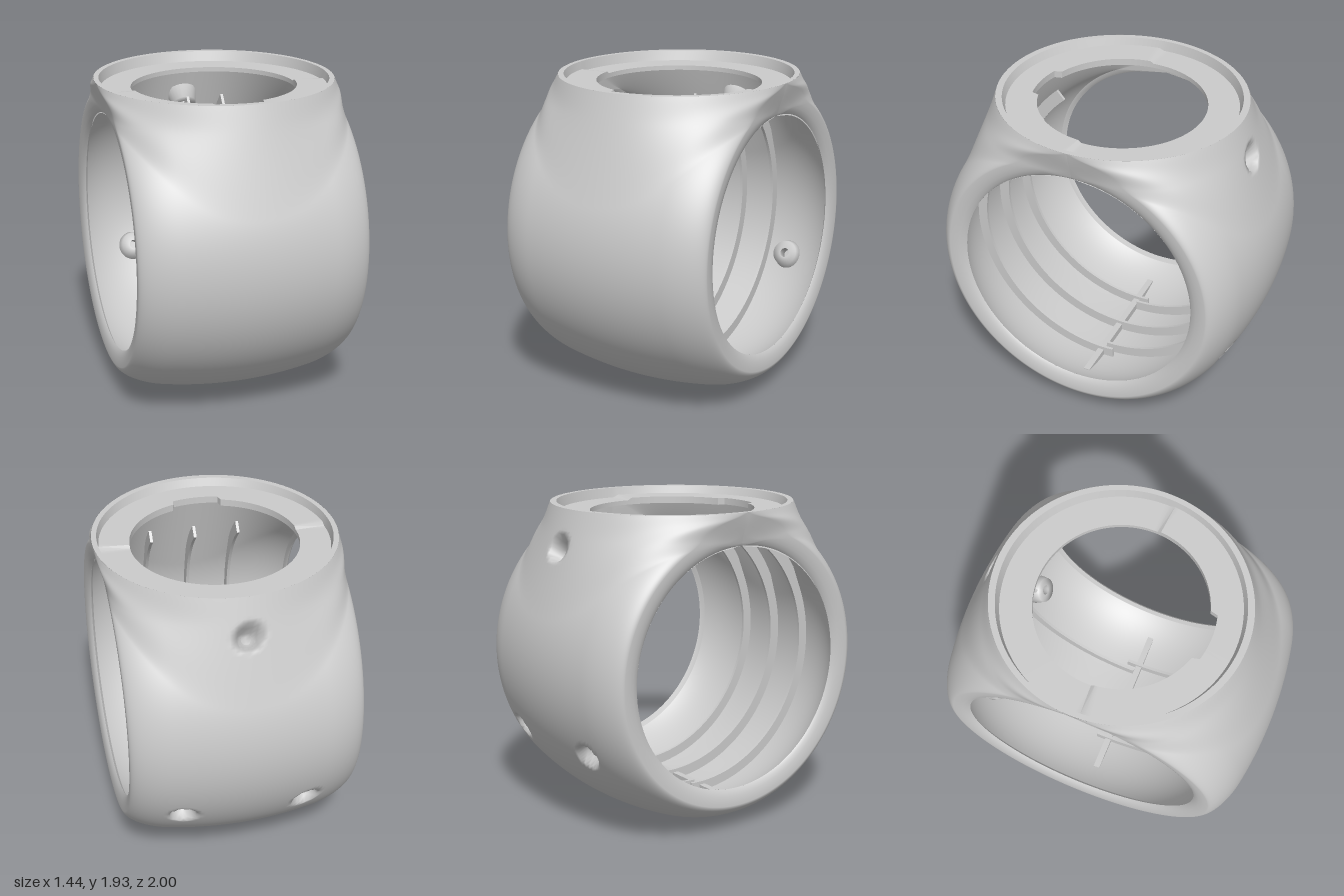
import * as THREE from 'three';
import { toCreasedNormals } from 'three/addons/utils/BufferGeometryUtils.js';

const AXIS_Y = 1;       // height of the cross bore's axis
const HALF_W = 0.69;    // half width of the barrel
const INNER_W = 0.645;  // half width of the cavity under the collar
const INNER_TOP = 0.84; // cavity height above the axis

// Screw recesses on the back wall
const recesses = [
  new THREE.Vector3(0, 1.71, -0.81),
  new THREE.Vector3(0.39, 0.55, -0.86),
  new THREE.Vector3(-0.35, 0.55, -0.86),
];

const outerR = (x) => {
  const t = Math.min(1, Math.max(0, (Math.abs(x) - 0.45) / 0.24));
  return 1 - 0.2 * x * x - 0.075 * (1 - Math.sqrt(1 - t * t));
};
const innerR = (x) => 0.87 - 0.11 * Math.pow(Math.abs(x) / INNER_W, 4);
const ellipse = (x, halfX, halfZ) => halfZ * Math.sqrt(Math.max(0, 1 - (x / halfX) ** 2));

// Surface from a rule point(i, j) over a grid
function grid(nu, nv, point) {
  const pos = [], index = [];
  for (let i = 0; i <= nu; i++) {
    for (let j = 0; j <= nv; j++) pos.push(...point(i, j));
  }
  for (let i = 0; i < nu; i++) {
    for (let j = 0; j < nv; j++) {
      const a = i * (nv + 1) + j, b = a + nv + 1;
      index.push(a, b, b + 1, a, b + 1, a + 1);
    }
  }
  const g = new THREE.BufferGeometry();
  g.setAttribute('position', new THREE.Float32BufferAttribute(pos, 3));
  g.setIndex(index);
  g.computeVertexNormals();
  return g;
}

// Section at one station: a circle of radius r joined by tangents to the
// collar edge (hz, h); j runs from -M (back edge) under the axis to M (front)
function section({ x, r, hz, h, bulge }, j, M) {
  const lineSteps = Math.round(M * 0.22);
  const side = Math.sign(j), k = M - Math.abs(j);
  const th0 = Math.atan2(hz, h) + Math.acos(Math.min(1, r / Math.hypot(hz, h)));
  if (k >= lineSteps) {
    const th = THREE.MathUtils.lerp(th0, Math.PI, (k - lineSteps) / (M - lineSteps));
    return { y: r * Math.cos(th), z: side * r * Math.sin(th), x };
  }
  const t = k / lineSteps, out = bulge * Math.sin(Math.PI * t) ** 2;
  const z = THREE.MathUtils.lerp(hz, r * Math.sin(th0), t) + out * Math.sin(th0);
  const y = THREE.MathUtils.lerp(h, r * Math.cos(th0), t) + out * Math.cos(th0);
  return { y, z: side * z, x };
}

// Outer skin with flared collar, rounded rims and dented screw recesses
function outerShell() {
  const stations = [], n = 80, M = 140;
  for (let i = 0; i <= n; i++) {
    const x = HALF_W * Math.sin((i / n - 0.5) * Math.PI);
    const bulge = 0.03 * (x / HALF_W) ** 2;
    stations.push({ x, r: outerR(x), hz: ellipse(x, HALF_W, 0.745), h: 0.93, bulge });
  }
  for (const [x, r, h] of [[0.689, 0.80, 0.86], [0.682, 0.77, 0.79], [0.673, 0.745, 0.75], [0.66, 0.73, 0.73]]) {
    stations.push({ x, r, hz: 0, h, bulge: 0 });
    stations.unshift({ x: -x, r, hz: 0, h, bulge: 0 });
  }
  return grid(stations.length - 1, 2 * M, (i, j) => {
    const { x, y, z } = section(stations[i], j - M, M);
    const px = x * (1 + 0.045 * THREE.MathUtils.smoothstep(y, 0.78, 0.93));
    const p = new THREE.Vector3(px, y + AXIS_Y, z);
    let dent = 1;
    for (const c of recesses) dent -= 0.1 * (1 - THREE.MathUtils.smoothstep(p.distanceTo(c), 0.04, 0.09));
    return [px, AXIS_Y + y * dent, z * dent];
  });
}

// Cavity wall, rising to the underside of the collar plate
function innerLining() {
  const stations = [{ x: 0.66, r: 0.73, hz: 0, h: 0.73, bulge: 0 }], n = 56, M = 90;
  for (let i = 0; i <= n; i++) {
    const x = INNER_W * Math.cos((i / n) * Math.PI);
    stations.push({ x, r: innerR(x), hz: ellipse(x, INNER_W, 0.66), h: INNER_TOP, bulge: 0 });
  }
  stations.push({ ...stations[0], x: -0.66 });
  return grid(stations.length - 1, 2 * M, (i, j) => {
    const { x, y, z } = section(stations[i], j - M, M);
    return [x, y + AXIS_Y, z];
  });
}

// Collar: raised lip, sunken plate with a notched opening, and its underside.
// The front half of the plate sits slightly higher than the back half.
function collarPlate() {
  const seg = 144;
  const g = grid(seg, 5, (i, j) => {
    const a = (i / seg) * Math.PI * 2, c = Math.cos(a), s = -Math.sin(a);
    const level = s > 0.06 ? 1.882 : 1.868;
    const hole = s > 0 && Math.abs(c) < 0.27 ? 0.54 : 0.5;
    const [rx, rz, y] = [
      [0.72, 0.745, 1.93], [0.69, 0.705, 1.93], [0.68, 0.685, level],
      [hole, hole, level], [hole, hole, AXIS_Y + INNER_TOP], [INNER_W, 0.66, AXIS_Y + INNER_TOP],
    ][j];
    return [rx * c, y, rz * s];
  });
  return toCreasedNormals(g, 0.5);
}

// Thin arched rib; angles run from the top, positive towards the front
function ribGeometry(from, to) {
  const shape = new THREE.Shape();
  const a0 = Math.PI / 2 - from, a1 = Math.PI / 2 - to;
  shape.absarc(0, 0, 0.88, a0, a1, a1 < a0);
  shape.absarc(0, 0, 0.805, a1, a0, a1 > a0);
  shape.closePath();
  const g = new THREE.ExtrudeGeometry(shape, { depth: 0.018, bevelEnabled: false, curveSegments: 40 });
  g.translate(0, 0, -0.009);
  g.rotateY(-Math.PI / 2);
  return toCreasedNormals(g, 0.5);
}

export function createModel() {
  const group = new THREE.Group();
  const mat = new THREE.MeshStandardMaterial({ color: 0xcccccc });
  const open = new THREE.MeshStandardMaterial({ color: 0xcccccc, side: THREE.DoubleSide });
  const add = (name, geometry, material = mat) => {
    const mesh = new THREE.Mesh(geometry, material);
    mesh.name = name;
    group.add(mesh);
    return mesh;
  };

  add('outerShell', outerShell(), open);
  add('innerLining', innerLining(), open);
  add('collarPlate', collarPlate(), open);

  // Ribs of the front and back halves
  const front = ribGeometry(0.72, Math.PI + 0.075);
  const back = ribGeometry(-0.72, -Math.PI);
  for (const k of [-1, 0, 1]) {
    add('frontRib', front).position.set(k * 0.28, AXIS_Y, 0);
    add('backRib', back).position.set(k * 0.23, AXIS_Y, 0);
  }

  // Seam strip where the halves meet along the bottom
  add('seamStrip', new THREE.BoxGeometry(1, 0.05, 0.04)).position.set(0, 0.15, 0.02);

  // Hollow screw bosses behind the recesses
  const boss = new THREE.LatheGeometry(
    [[0.03, 0], [0.03, 0.09], [0.1, 0.09], [0.08, 0], [0.03, 0]].map(([r, y]) => new THREE.Vector2(r, y)), 24);
  for (const c of recesses) {
    const out = new THREE.Vector3(0, c.y - AXIS_Y, c.z);
    const reach = out.length() - 0.18;
    out.normalize();
    const mesh = add('screwBoss', boss, open);
    mesh.position.set(c.x, AXIS_Y, 0).addScaledVector(out, reach);
    mesh.quaternion.setFromUnitVectors(new THREE.Vector3(0, 1, 0), out);
  }
  return group;
}
